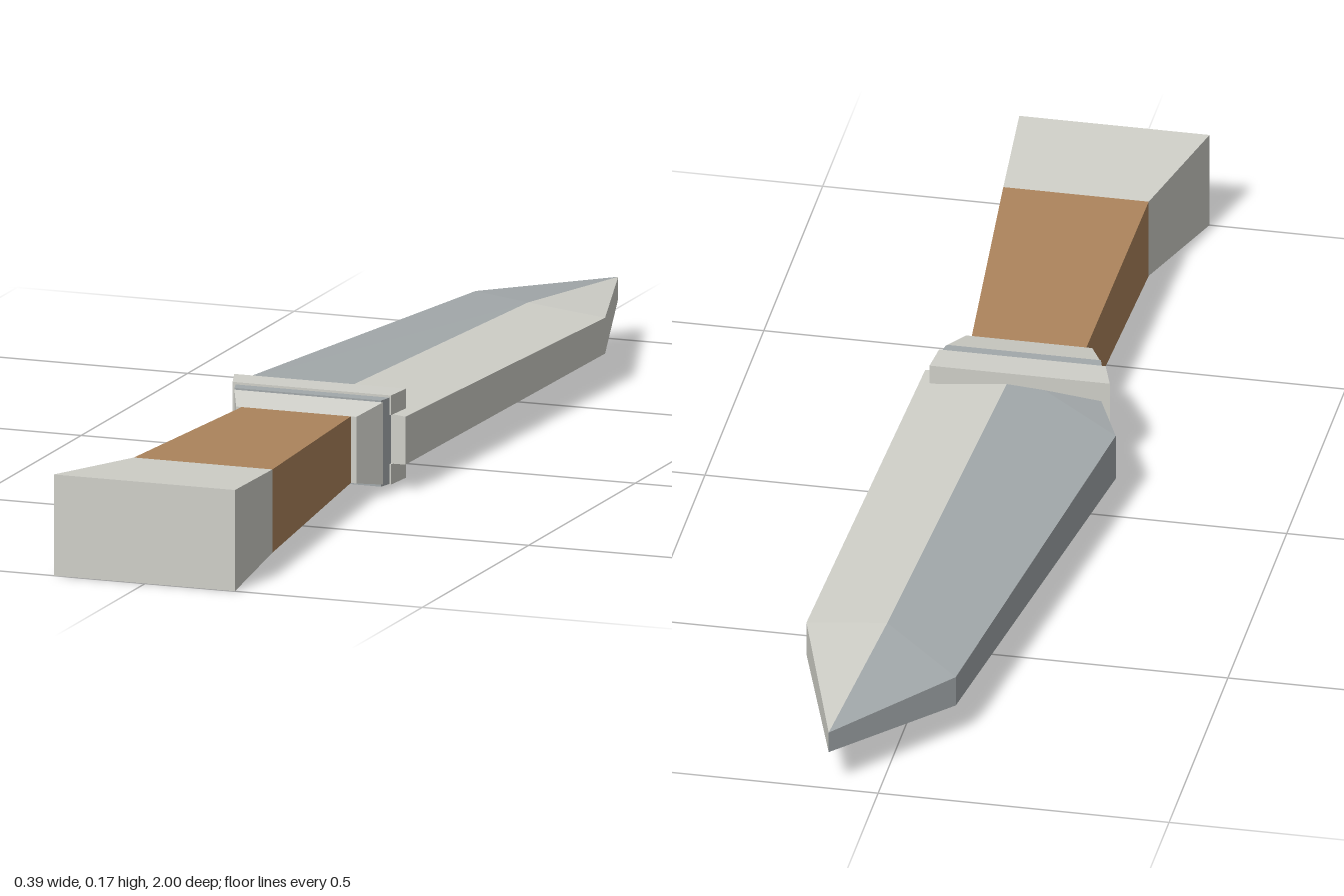
import * as THREE from 'three';

const mat = (name, color) => {
  const m = new THREE.MeshStandardMaterial({ color, flatShading: true });
  m.name = name;
  return m;
};

// Flat-faced mesh from polygons (corners counter-clockwise from outside)
function polyMesh(name, polys, material) {
  const pos = [];
  for (const p of polys)
    for (let i = 1; i < p.length - 1; i++) pos.push(...p[0], ...p[i], ...p[i + 1]);
  const g = new THREE.BufferGeometry();
  g.setAttribute('position', new THREE.Float32BufferAttribute(pos, 3));
  g.computeVertexNormals();
  const mesh = new THREE.Mesh(g, material);
  mesh.name = name;
  return mesh;
}

// Rectangular loft; sections [z, x0, x1, y0, y1] run from +z to -z
function loft(name, sections, material) {
  const rings = sections.map(([z, x0, x1, y0, y1]) =>
    [[x0, y0, z], [x1, y0, z], [x1, y1, z], [x0, y1, z]]);
  const polys = [rings[0], [...rings[rings.length - 1]].reverse()];
  for (let i = 0; i < rings.length - 1; i++)
    for (let j = 0; j < 4; j++) {
      const k = (j + 1) % 4;
      polys.push([rings[i][k], rings[i][j], rings[i + 1][j], rings[i + 1][k]]);
    }
  return polyMesh(name, polys, material);
}

export function createModel() {
  const steel = mat('light steel', 0xcfcfc8);
  const blue = mat('blue grey steel', 0xa2a8aa);
  const wood = mat('brown wood', 0xac845c);
  const group = new THREE.Group();
  group.name = 'knife';

  // Handle
  const pommelEnd = [0.78, -0.105, 0.145, 0.018, 0.162];
  const gripEnd = [0.3, -0.095, 0.102, 0.032, 0.147];
  group.add(loft('pommel', [[1, -0.165, 0.162, 0, 0.175], pommelEnd], steel));
  group.add(loft('grip', [pommelEnd, gripEnd], wood));

  // Guard: flared collar, darker band, then a lip left open where the blade's right edge comes out
  group.add(loft('collar', [[0.3, -0.105, 0.112, 0.032, 0.147], [0.235, -0.133, 0.135, 0.018, 0.16]], steel));
  group.add(loft('guardBand', [[0.235, -0.133, 0.132, 0.014, 0.163], [0.205, -0.142, 0.138, 0.014, 0.163]], blue));
  const lip = (name, x0a, x0b, x1a, x1b, y0, y1) =>
    group.add(loft(name, [[0.21, x0a, x1a, y0, y1], [0.153, x0b, x1b, y0, y1]], steel));
  lip('guardLipTop', -0.146, -0.165, 0.14, 0.145, 0.133, 0.167);
  lip('guardLipBottom', -0.146, -0.165, 0.14, 0.145, 0.013, 0.048);
  lip('guardLipSide', -0.146, -0.165, -0.12, -0.135, 0.048, 0.133);

  // Blade outline: [x, z, bottom y, top y]
  const rim = ([x, z, b, t]) => ({ b: [x, b, z], t: [x, t, z] });
  const L = [[-0.13, 0.2, 0.047, 0.132], [-0.197, 0.045, 0.047, 0.13],
    [-0.09, -0.785, 0.06, 0.115], [0.085, -1, 0.07, 0.108]].map(rim);
  const E = [[0.162, 0.2, 0.047, 0.13], [0.192, -0.66, 0.057, 0.119]].map(rim);
  E.push(L[3]);
  const R0 = [0.01, 0.147, 0.2], R1 = [0.053, 0.134, -0.66], tip = L[3].t;

  const leftWalls = [0, 1, 2].map(i => [L[i].b, L[i].t, L[i + 1].t, L[i + 1].b]);
  const rightWalls = [0, 1].map(i => [E[i].b, E[i + 1].b, E[i + 1].t, E[i].t]);

  // Left bevel, left edge and underside
  group.add(polyMesh('bladeLeft', [
    [L[0].t, R0, L[1].t], [L[1].t, R0, R1], [L[1].t, R1, L[2].t], [L[2].t, R1, tip],
    ...leftWalls,
    [E[0].b, L[0].b, L[1].b], [E[0].b, L[1].b, E[1].b],
    [E[1].b, L[1].b, L[2].b], [E[1].b, L[2].b, L[3].b],
  ], blue));

  // Right bevel, right edge and root
  group.add(polyMesh('bladeRight', [
    [R0, E[0].t, E[1].t], [R0, E[1].t, R1], [R1, E[1].t, tip],
    ...rightWalls,
    [L[0].b, E[0].b, E[0].t, R0, L[0].t],
  ], steel));

  return group;
}
